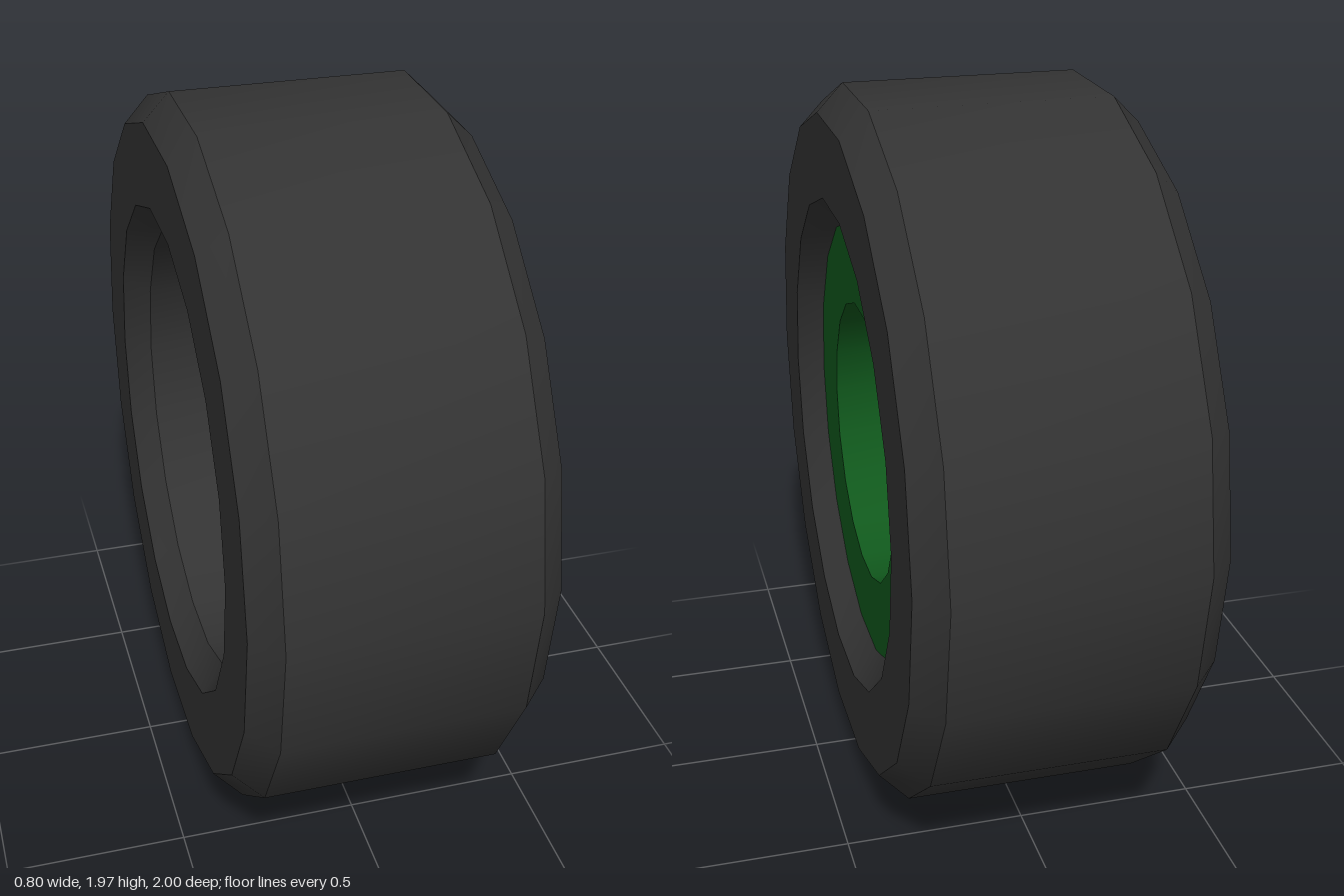
import * as THREE from 'three';
import { toCreasedNormals } from 'three/addons/utils/BufferGeometryUtils.js';

const SIDES = 18;

// Closed ring turned around the x axis from [radius, x] points
function ring(name, profile, color) {
  const points = [...profile, profile[0]].map(([r, x]) => new THREE.Vector2(r, x));
  const lathe = new THREE.LatheGeometry(points, SIDES);
  lathe.rotateZ(-Math.PI / 2);
  const geometry = toCreasedNormals(lathe, Math.PI / 6);
  const mesh = new THREE.Mesh(geometry, new THREE.MeshStandardMaterial({ color }));
  mesh.name = name;
  return mesh;
}

export function createModel() {
  const wheel = new THREE.Group();
  wheel.name = 'wheel';

  // Tyre with chamfered outer and inner edges
  wheel.add(ring('tyre', [
    [0.925, -0.4], [1, -0.325], [1, 0.325], [0.925, 0.4],
    [0.695, 0.4], [0.625, 0.33], [0.625, -0.33], [0.695, -0.4],
  ], 0x333333));

  // Hub: near the outer face on +x, deeply recessed on -x
  wheel.add(ring('hub', [
    [0.625, -0.1], [0.625, 0.33], [0.4, 0.33], [0.4, -0.1],
  ], 0x10581c));

  // Rest on the flat lower facet
  wheel.position.y = Math.cos(Math.PI / SIDES);
  const model = new THREE.Group();
  model.name = 'wheelModel';
  model.add(wheel);
  return model;
}
